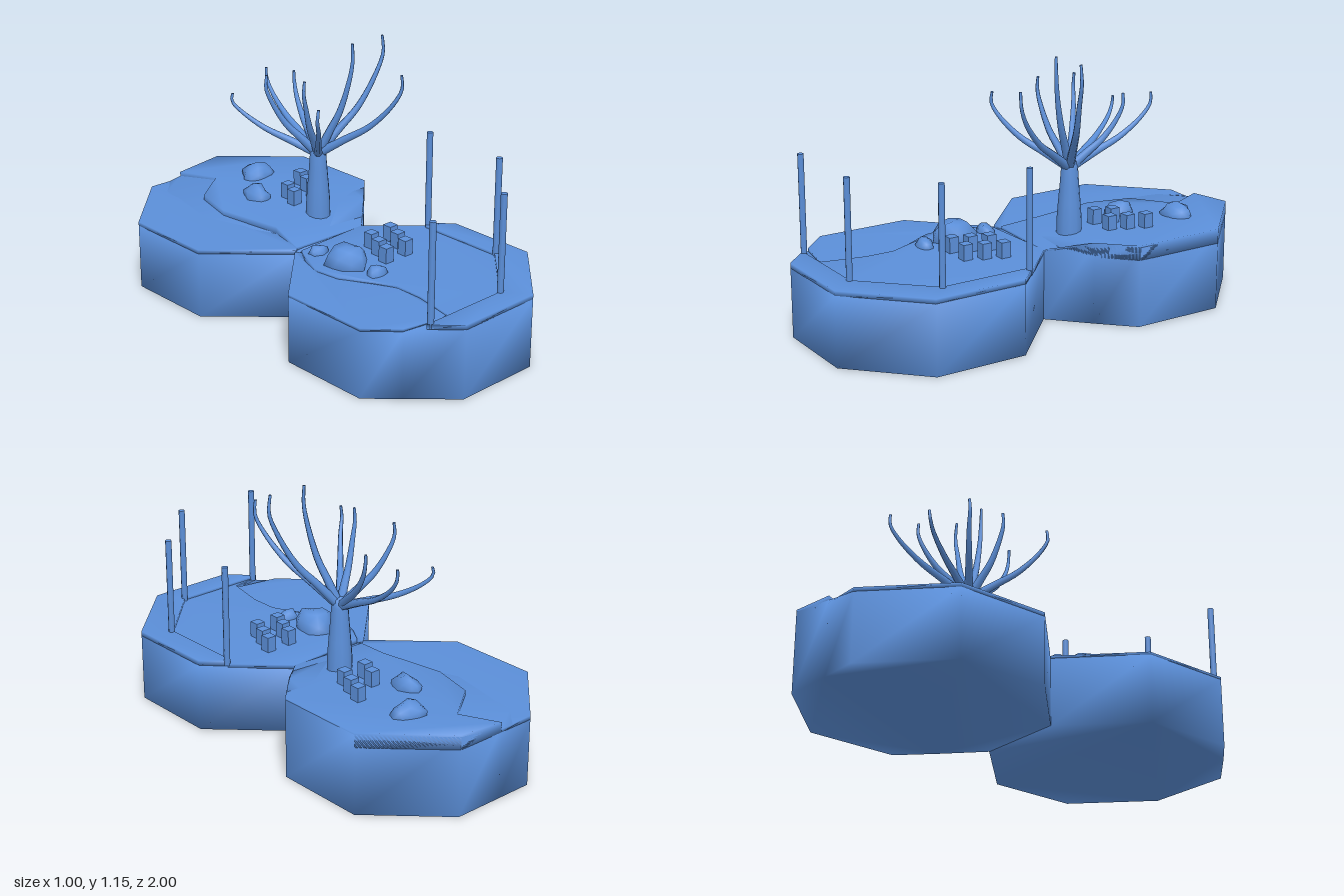
import * as THREE from 'three';
import { mergeVertices } from 'three/addons/utils/BufferGeometryUtils.js';

const material = new THREE.MeshStandardMaterial({ color: 0x5b8fd9, side: THREE.DoubleSide });

function add(parent, name, geometry, x = 0, y = 0, z = 0) {
  const mesh = new THREE.Mesh(geometry, material);
  mesh.name = name;
  mesh.position.set(x, y, z);
  parent.add(mesh);
  return mesh;
}

// Solid from an outline of [x, z, topY] points, with a flat underside at bottomY
function slab(outline, bottomY) {
  let pts = outline;
  const flat = (list) => list.map(([x, z]) => new THREE.Vector2(x, -z));
  if (THREE.ShapeUtils.area(flat(pts)) < 0) pts = [...pts].reverse();
  const n = pts.length;
  const position = [];
  pts.forEach(([x, z, y]) => position.push(x, y, z));
  pts.forEach(([x, z]) => position.push(x, bottomY, z));
  const index = [];
  for (const [a, b, c] of THREE.ShapeUtils.triangulateShape(flat(pts), [])) {
    index.push(a, b, c, n + a, n + c, n + b);
  }
  for (let i = 0; i < n; i++) {
    const j = (i + 1) % n;
    index.push(n + i, n + j, j, n + i, j, i);
  }
  const geometry = new THREE.BufferGeometry();
  geometry.setAttribute('position', new THREE.Float32BufferAttribute(position, 3));
  geometry.setIndex(index);
  geometry.computeVertexNormals();
  return geometry;
}

// Tapered branch: a tube whose rings shrink toward the tip
function branch(points, r0, r1) {
  const curve = new THREE.CatmullRomCurve3(points);
  const segments = 20, sides = 7;
  const geometry = new THREE.TubeGeometry(curve, segments, 1, sides);
  const pos = geometry.attributes.position;
  const v = new THREE.Vector3();
  for (let i = 0; i < pos.count; i++) {
    const t = Math.floor(i / (sides + 1)) / segments;
    const c = curve.getPointAt(t);
    v.fromBufferAttribute(pos, i).sub(c).multiplyScalar(THREE.MathUtils.lerp(r0, r1, t)).add(c);
    pos.setXYZ(i, v.x, v.y, v.z);
  }
  return geometry;
}

// Lumpy boulder with welded normals
function boulder(w, h, d, seed) {
  let geometry = new THREE.IcosahedronGeometry(1, 1);
  geometry.deleteAttribute('uv');
  geometry.deleteAttribute('normal');
  geometry = mergeVertices(geometry);
  const pos = geometry.attributes.position;
  for (let i = 0; i < pos.count; i++) {
    const k = 0.93 + 0.13 * Math.sin(seed * 7.3 + i * 2.7);
    pos.setXYZ(i, pos.getX(i) * k * w / 2, pos.getY(i) * k * h, pos.getZ(i) * k * d / 2);
  }
  geometry.computeVertexNormals();
  return geometry;
}

export function createModel() {
  const group = new THREE.Group();

  // Two octagonal plots touching at z = 0
  const frontBase = [[-0.2, 0, 0.3], [0.2, 0, 0.31], [0.5, 0.29, 0.31], [0.5, 0.71, 0.31],
    [0.2, 1, 0.31], [-0.2, 1, 0.31], [-0.38, 0.83, 0.3], [-0.5, 0.71, 0.3], [-0.5, 0.29, 0.3]];
  const backBase = [[-0.2, 0, 0.3], [0.2, 0, 0.31], [0.36, -0.15, 0.357], [0.5, -0.29, 0.357],
    [0.5, -0.71, 0.357], [0.2, -1, 0.357], [-0.03, -1, 0.325], [-0.2, -1, 0.3],
    [-0.5, -0.71, 0.3], [-0.5, -0.29, 0.3]];
  add(group, 'frontPlot', slab(frontBase, 0));
  add(group, 'backPlot', slab(backBase, 0));

  // Wavy borders dividing the lower path from the raised garden bed
  const frontWave = [[-0.18, 0.02], [-0.23, 0.1], [-0.265, 0.2], [-0.25, 0.32], [-0.17, 0.46],
    [-0.13, 0.55], [-0.13, 0.68], [-0.17, 0.87]];
  const backWave = [[-0.03, -1], [0.05, -0.83], [-0.13, -0.7], [-0.18, -0.5], [-0.13, -0.2], [-0.17, -0.02]];
  const at = (list, y) => list.map(([x, z]) => [x, z, y]);

  add(group, 'frontPath', slab([...at(frontWave, 0.31),
    ...at([[-0.38, 0.83], [-0.5, 0.71], [-0.5, 0.29], [-0.2, 0]], 0.312)], 0.3));
  add(group, 'backPath', slab([...at(backWave, 0.314),
    ...at([[-0.2, 0], [-0.5, -0.29], [-0.5, -0.71], [-0.2, -1]], 0.318)], 0.3));
  add(group, 'frontGarden', slab([...at(frontWave, 0.32),
    ...at([[-0.29, 0.89], [0.12, 0.89], [0.4, 0.62], [0.41, 0.2], [0.2, 0]], 0.318)], 0.3));
  add(group, 'backGarden', slab([...at(backWave.slice(0, 4), 0.345), [-0.13, -0.2, 0.345],
    [-0.17, -0.02, 0.318], [0.2, 0, 0.318], [0.36, -0.15, 0.365], [0.5, -0.29, 0.365],
    [0.5, -0.71, 0.365], [0.2, -1, 0.365]], 0.3));

  // Kerb around the front right rim
  add(group, 'kerb', slab(at([[0.41, 0.2], [0.5, 0.29], [0.5, 0.71], [0.2, 1], [-0.2, 1],
    [-0.31, 0.89], [0.12, 0.89], [0.39, 0.62], [0.39, 0.21]], 0.33), 0.308));

  // Posts on the kerb
  for (const [x, z] of [[-0.29, 0.892], [0.12, 0.892], [0.398, 0.62], [0.407, 0.21]]) {
    add(group, 'post', new THREE.CylinderGeometry(0.014, 0.014, 0.455, 8), x, 0.5375, z);
  }

  // Bare tree: flared trunk and curving branches
  const tree = new THREE.Group();
  tree.name = 'tree';
  group.add(tree);
  const trunk = [[0.056, 0.32], [0.055, 0.4], [0.049, 0.48], [0.042, 0.56], [0.037, 0.63], [0.03, 0.665], [0, 0.675]];
  add(tree, 'trunk', new THREE.LatheGeometry(trunk.map(([r, y]) => new THREE.Vector2(r, y)), 12), 0.113, 0, -0.19);
  const tips = [[0.375, 1.15, -0.06], [0.195, 1.15, -0.06], [0.27, 1.045, 0.165], [0.18, 0.945, -0.42],
    [0.16, 0.925, -0.585], [-0.07, 0.865, -0.55], [-0.06, 1.0, -0.33], [-0.115, 0.955, 0.06], [-0.03, 1.015, -0.12]];
  const start = new THREE.Vector3(0.113, 0.63, -0.19);
  for (const [x, y, z] of tips) {
    const steps = [[0, 0], [0.32, 0.2], [0.63, 0.39], [0.9, 0.66], [1.03, 0.85], [1, 1]];
    const path = steps.map(([h, v]) => new THREE.Vector3(
      start.x + (x - start.x) * h, start.y + (y - start.y) * v, start.z + (z - start.z) * Math.min(h, 1)));
    add(tree, 'branch', branch(path, 0.021, 0.006));
  }

  // Boulders: x, z, ground height, width, height, depth
  const boulders = [[-0.13, 0.25, 0.32, 0.19, 0.1, 0.2], [-0.14, 0.085, 0.315, 0.1, 0.045, 0.08],
    [-0.11, 0.41, 0.318, 0.1, 0.045, 0.08], [0.205, -0.71, 0.355, 0.17, 0.058, 0.14],
    [0.035, -0.52, 0.348, 0.11, 0.06, 0.16]];
  boulders.forEach(([x, z, y, w, h, d], i) => add(group, 'boulder', boulder(w, h, d, i + 1), x, y, z));

  // Staggered rows of square blocks
  const block = new THREE.BoxGeometry(0.045, 0.08, 0.045);
  for (let row = 0; row < 3; row++) {
    for (let col = 0; col < 2; col++) {
      add(group, 'frontBlock', block, 0.07 + col * 0.115 - row * 0.03, 0.348, 0.195 + row * 0.075);
      if (row > 0 || col > 0) {
        add(group, 'backBlock', block, 0.16 + col * 0.115 - row * 0.03, 0.38, -0.485 + row * 0.075);
      }
    }
  }
  return group;
}
